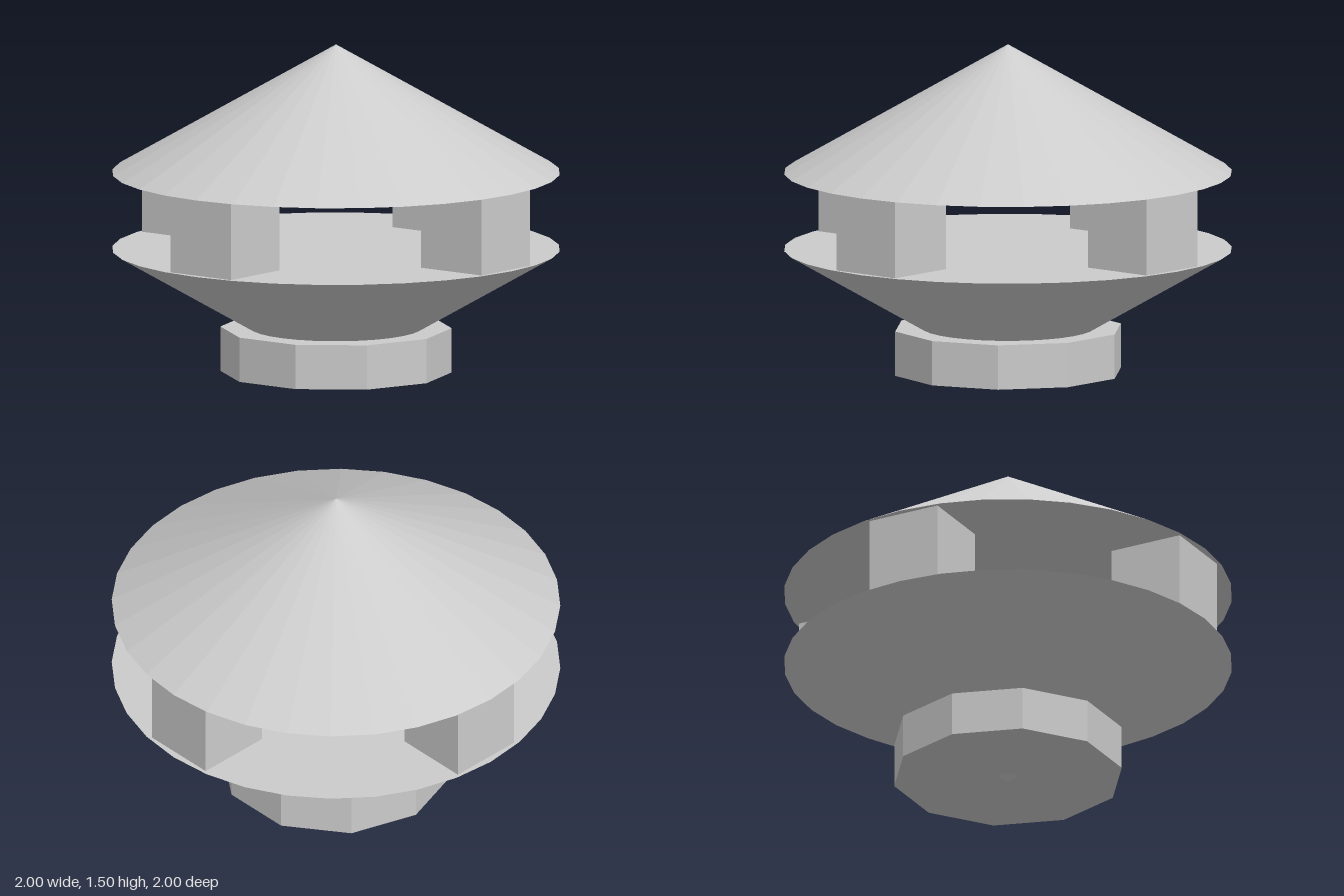
import * as THREE from 'three';

export function createModel() {
  const group = new THREE.Group();
  const material = new THREE.MeshStandardMaterial({ color: 0xcccccc, flatShading: true });

  const add = (name, geometry, x, y, z) => {
    const mesh = new THREE.Mesh(geometry, material);
    mesh.name = name;
    mesh.position.set(x, y, z);
    group.add(mesh);
    return mesh;
  };

  const coneHeight = 0.577;
  const postSize = 0.346;
  const postOffset = 0.795;

  // Lower cone, point down; its tip just pokes through the base
  const lower = add('lowerCone', new THREE.ConeGeometry(1, coneHeight, 32), 0, coneHeight / 2, 0);
  lower.rotation.x = Math.PI;

  // Upper cone, the roof
  add('roofCone', new THREE.ConeGeometry(1, coneHeight, 32), 0, coneHeight * 1.5 + postSize, 0);

  // Four cube posts between the cones
  const postGeometry = new THREE.BoxGeometry(postSize, postSize, postSize);
  for (const [x, z] of [[1, 0], [0, 1], [-1, 0], [0, -1]]) {
    add('post', postGeometry, x * postOffset, coneHeight + postSize / 2, z * postOffset);
  }

  // Ten-sided base
  add('base', new THREE.CylinderGeometry(0.516, 0.516, 0.2, 10), 0, 0.122, 0);

  return group;
}
